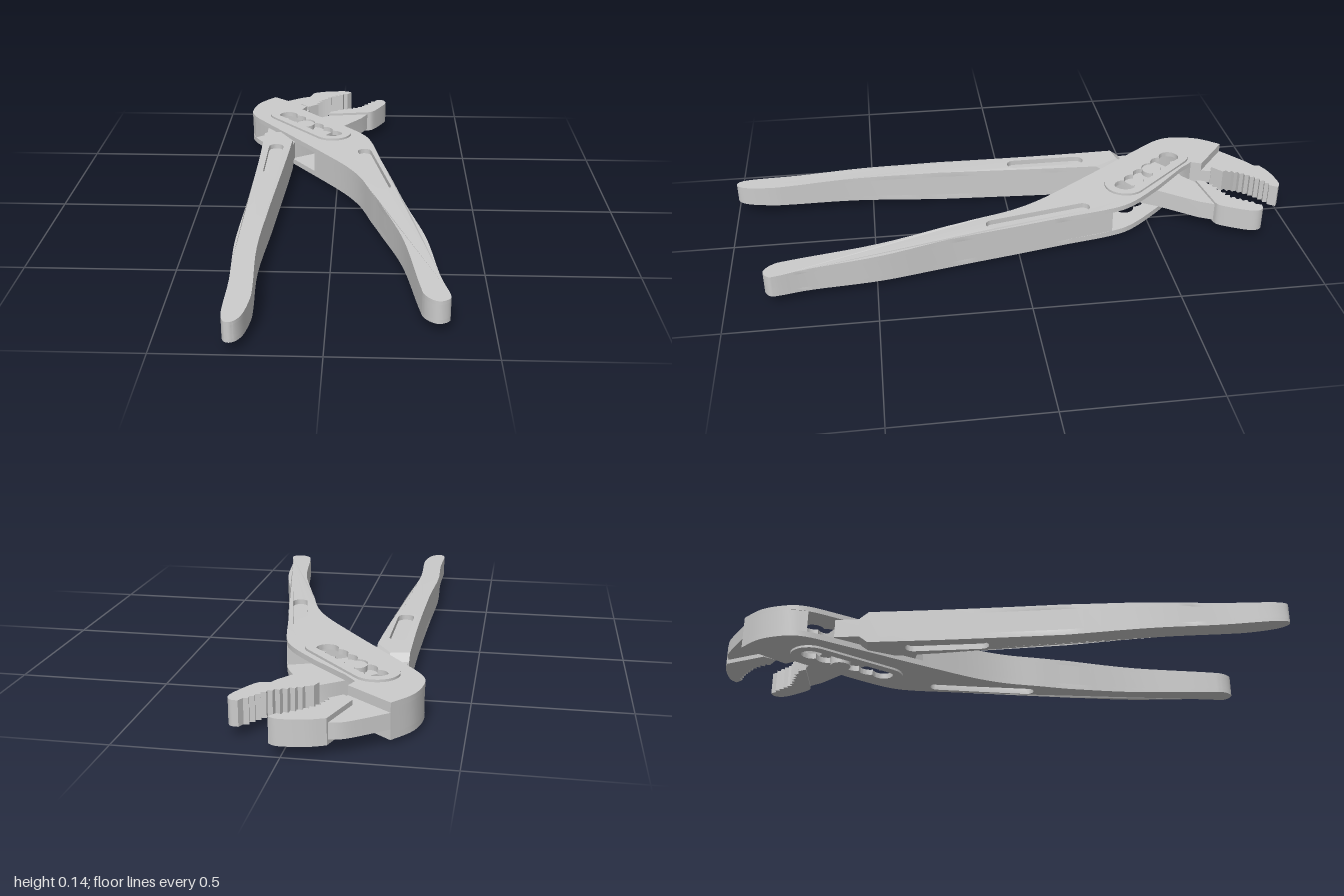
import * as THREE from 'three';
import { toCreasedNormals } from 'three/addons/utils/BufferGeometryUtils.js';

const material = new THREE.MeshStandardMaterial({ color: 0xcccccc });
const MID = 0.0725; // height of the central plane
const v2 = ([x, z]) => new THREE.Vector2(x, -z);

// Smooth run through [x, z] points
const smooth = (pts, steps = 5) =>
  new THREE.SplineCurve(pts.map(v2)).getPoints((pts.length - 1) * steps).map((p) => [p.x, -p.y]);

// Zigzag run of n teeth along [x, z] points
function toothed(pts, n, depth) {
  const curve = new THREE.SplineCurve(pts.map(v2));
  const out = [];
  for (let i = 0; i <= 2 * n; i++) {
    const p = curve.getPointAt(i / (2 * n));
    const t = curve.getTangentAt(i / (2 * n));
    const d = i % 2 ? depth : -depth;
    out.push([p.x - t.y * d, -(p.y + t.x * d)]);
  }
  return out;
}

// Closed capsule outline between two points
function capsule(a, b, r) {
  const ang = Math.atan2(b[1] - a[1], b[0] - a[0]);
  const out = [];
  for (const [c, start] of [[b, ang - Math.PI / 2], [a, ang + Math.PI / 2]])
    for (let i = 0; i <= 12; i++) {
      const t = start + (i / 12) * Math.PI;
      out.push([c[0] + r * Math.cos(t), c[1] + r * Math.sin(t)]);
    }
  return out;
}

// Scalloped slot: the outline of overlapping circles in a row
function chain(a, b, count, r) {
  const len = Math.hypot(b[0] - a[0], b[1] - a[1]);
  const dx = (b[0] - a[0]) / len, dz = (b[1] - a[1]) / len;
  const gap = len / (count - 1), cusp = Math.acos(gap / 2 / r);
  const side = [];
  for (let k = 0; k < count; k++) {
    const from = k === 0 ? Math.PI : Math.PI - cusp;
    const to = k === count - 1 ? 0 : cusp;
    for (let i = k ? 1 : 0; i <= 10; i++) {
      const t = from + ((to - from) * i) / 10;
      side.push([k * gap + r * Math.cos(t), r * Math.sin(t)]);
    }
  }
  const other = side.slice(1, -1).reverse().map(([s, w]) => [s, -w]);
  return [...side, ...other].map(([s, w]) => [a[0] + dx * s - dz * w, a[1] + dz * s + dx * w]);
}

// Horizontal plate from y0 to y1; scale(x, z) thins it about the central plane
function plate(group, name, outline, y0, y1, holes = [], scale = null) {
  const shape = new THREE.Shape(outline.map(v2));
  shape.holes = holes.map((h) => new THREE.Path(h.map(v2)));
  let geo = new THREE.ExtrudeGeometry(shape, { depth: y1 - y0, bevelEnabled: false });
  geo.rotateX(-Math.PI / 2).translate(0, y0, 0);
  if (scale) {
    const p = geo.attributes.position;
    for (let i = 0; i < p.count; i++)
      p.setY(i, MID + (p.getY(i) - MID) * scale(p.getX(i), p.getZ(i)));
    geo.computeVertexNormals();
  }
  geo = toCreasedNormals(geo, 0.5);
  const mesh = new THREE.Mesh(geo, material);
  mesh.name = name;
  group.add(mesh);
}

// Handles thin out towards their ends
const taper = (x, z) => 1 - Math.max(0, z - 0.25) * 0.56;

const SKINS = [['lower', 0.015, 0.035], ['upper', 0.112, 0.13]];
const SLOT_A = [-0.217, -0.635], SLOT_B = [-0.026, -0.42];

function slottedLever() {
  const g = new THREE.Group();
  g.name = 'slottedLever';
  const headCurve = [[-0.291, -0.862], [-0.349, -0.783], [-0.37, -0.688], [-0.354, -0.619], [-0.291, -0.529]];
  const handleEdge = [
    [-0.09, -0.264], [-0.063, -0.228], [0.032, -0.095], [0.09, 0.016], [0.132, 0.15], [0.164, 0.25],
    [0.233, 0.492], [0.275, 0.767], [0.291, 0.836], [0.328, 0.868], [0.362, 0.852], [0.363, 0.82],
    [0.339, 0.714], [0.307, 0.481], [0.249, 0.25], [0.201, 0.016], [0.164, -0.159], [0.127, -0.344],
  ];
  const neck = [[0.085, -0.434], [-0.01, -0.545], [-0.127, -0.661], [-0.164, -0.709], [-0.148, -0.746]];

  // Cheeks run on into the outer layers of the handle
  const body = [...smooth([...headCurve, [-0.19, -0.397], ...handleEdge, ...neck.slice(0, 2)]), ...neck.slice(2)];
  const slot = chain(SLOT_A, SLOT_B, 6, 0.037);
  const groove = capsule([0.103, -0.238], [0.173, 0.09], 0.026);
  for (const [side, y0, y1] of SKINS) plate(g, side + 'Cheek', body, y0, y1, [slot, groove], taper);

  // Filling between the cheeks: handle and head
  plate(g, 'handleCore', smooth(handleEdge), 0.035, 0.112, [], taper);
  plate(g, 'headCore',
    [...smooth(headCurve.slice(0, 4)), [-0.26, -0.69], [-0.164, -0.709], [-0.148, -0.746]], 0.035, 0.112);

  // Raised rims around the slot
  const rim = capsule(SLOT_A, SLOT_B, 0.074), opening = capsule(SLOT_A, SLOT_B, 0.043);
  plate(g, 'lowerSlotRim', rim, 0.007, 0.015, [opening]);
  plate(g, 'upperSlotRim', rim, 0.13, 0.138, [opening]);

  // Jaw: thin web and thicker toothed end
  plate(g, 'jawWeb', [
    ...smooth([[-0.127, -0.963], [-0.18, -0.947], [-0.291, -0.862]]),
    [-0.148, -0.746], [-0.14, -0.783], [-0.165, -0.82], [-0.115, -0.955],
  ], 0.048, 0.099);
  plate(g, 'upperJaw', [
    ...smooth([[0.037, -0.984], [0.005, -0.998], [-0.074, -0.989], [-0.127, -0.969]]),
    [-0.175, -0.82], [-0.143, -0.783],
    ...toothed([[-0.108, -0.82], [-0.085, -0.873], [-0.053, -0.91], [-0.016, -0.941], [0.016, -0.962]], 9, 0.006),
  ], 0.033, 0.115);
  return g;
}

function throughLever() {
  const g = new THREE.Group();
  g.name = 'throughLever';
  const step = [[-0.18, -0.344], [-0.233, -0.434], [-0.296, -0.423]];
  const outline = [
    ...smooth([
      [-0.296, -0.423], [-0.291, -0.132], [-0.294, 0.25], [-0.302, 0.53], [-0.291, 0.767], [-0.291, 0.958],
      [-0.265, 0.998], [-0.233, 0.963], [-0.217, 0.873], [-0.217, 0.794], [-0.228, 0.556], [-0.212, 0.25],
      [-0.19, -0.132], [-0.18, -0.344],
    ]),
    [-0.233, -0.434],
  ];
  const groove = capsule([-0.238, -0.275], [-0.238, -0.04], 0.028);
  for (const [side, y0, y1] of SKINS) plate(g, side + 'HandleFace', outline, y0, y1, [groove], taper);
  plate(g, 'handleCore', outline, 0.035, 0.112, [], taper);

  // Sloping shoulder between handle and neck
  const stepZ = (x) => (x < -0.233 ? -0.428 : -0.434 + (x + 0.233) * 1.7);
  plate(g, 'shoulder', [...step, [-0.296, -0.453], [-0.233, -0.464], [-0.18, -0.378]], 0.015, 0.13, [],
    (x, z) => (z < stepZ(x) - 0.012 ? 0.6 : 1));

  // Neck passing between the cheeks
  plate(g, 'neck', [
    [-0.293, -0.54], [-0.233, -0.55], [-0.18, -0.6], [-0.11, -0.655], [-0.053, -0.698], [0.111, -0.725],
    [0.085, -0.672], [-0.01, -0.545], [-0.063, -0.455], [-0.175, -0.386], [-0.185, -0.32], [-0.29, -0.32],
  ], 0.04, 0.106);

  // Toothed jaw
  plate(g, 'lowerJaw', [
    [-0.053, -0.698], [-0.042, -0.728],
    ...toothed([[-0.02, -0.741], [0.032, -0.765], [0.08, -0.79], [0.106, -0.825], [0.135, -0.866]], 9, 0.006),
    ...smooth([[0.15, -0.884], [0.178, -0.877], [0.185, -0.836], [0.138, -0.741], [0.111, -0.722]]),
  ], 0.033, 0.115);
  return g;
}

export function createModel() {
  const model = new THREE.Group();
  model.name = 'adjustablePliers';
  model.add(slottedLever(), throughLever());

  // Pivot pin seated in one notch of the slot
  const pin = new THREE.Mesh(new THREE.CylinderGeometry(0.035, 0.035, 0.125, 32), material);
  pin.name = 'pivotPin';
  pin.position.set(-0.141, 0.0625, -0.549);
  model.add(pin);
  return model;
}
